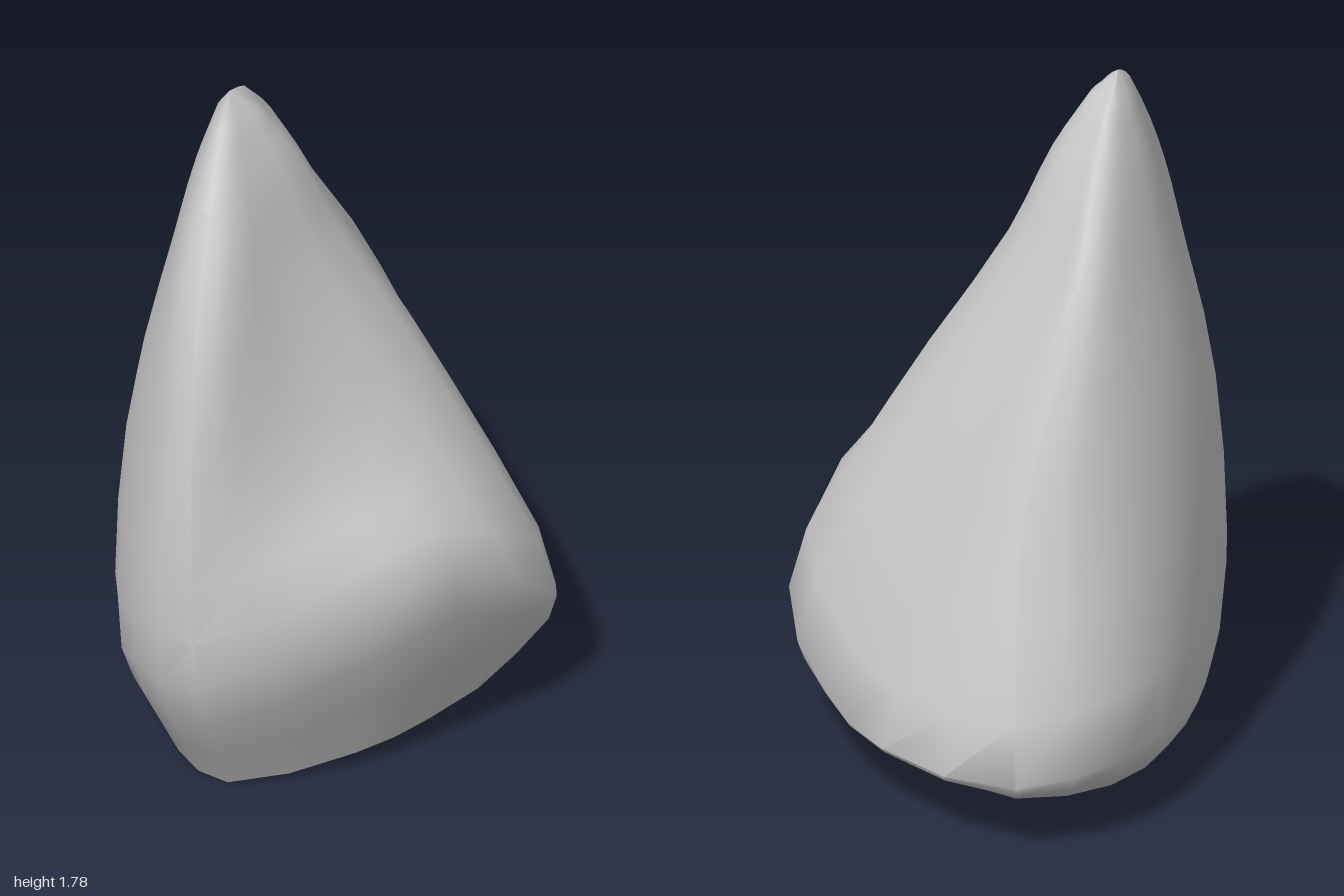
import * as THREE from 'three';
import { mergeVertices, toCreasedNormals } from 'three/addons/utils/BufferGeometryUtils.js';

// Ridges of the boulder, front -> +x side -> back -> -x side:
// widest point (x, y, z), then x, z at the middle and at the high level.
const ridges = [
  [-.22, .38, .975, -.24, .96, -.27, .76],
  [.18, .53, .77, -.08, .81, -.18, .68],
  [.39, .6, .54, .16, .49, -.1, .42],
  [.575, .31, .12, .31, .13, -.01, .12],
  [.44, .19, -.29, .16, -.2, -.1, -.1],
  [.24, .17, -.67, .03, -.44, -.19, -.25],
  [-.15, .2, -1, -.14, -.72, -.24, -.325],
  [-.42, .22, -.8, -.33, -.58, -.31, -.28],
  [-.55, .2, -.36, -.47, -.3, -.385, -.1],
  [-.565, .2, .02, -.54, .05, -.435, .1],
  [-.545, .22, .38, -.53, .4, -.42, .38],
  [-.43, .35, .78, -.4, .77, -.37, .61],
];
const middleY = .85, highY = 1.35;
const peak = new THREE.Vector3(-.29, 1.78, .21);

// The underside is a gently tilted plane, lowest at the front
const baseHeight = (x, z) => Math.max(0, .08 + .08 * x - .08 * z);
const baseCentre = new THREE.Vector3(-.05, baseHeight(-.05, 0), 0);

// One smooth line from the base edge over the widest point to the blunt peak
function ridgePoints([x, y, z, middleX, middleZ, highX, highZ], rows) {
  const wide = new THREE.Vector3(x, y, z);
  const high = new THREE.Vector3(highX, highY, highZ);
  const inset = Math.min(.22, .05 + .7 * (y - baseHeight(x, z)));
  const base = wide.clone().lerp(baseCentre, inset);
  base.y = baseHeight(base.x, base.z);
  const shoulders = [.4, .75].map((f) => {
    const p = high.clone().lerp(peak, f);
    p.y = peak.y - (peak.y - highY) * (1 - f) ** 1.5;
    return p;
  });
  const middle = new THREE.Vector3(middleX, middleY, middleZ);
  const curve = new THREE.CatmullRomCurve3([base, wide, middle, high, ...shoulders]);
  return Array.from({ length: rows }, (_, k) => curve.getPoint(k / (rows - 1)));
}

function boulderGeometry() {
  const rows = 16, around = ridges.length * 2;
  const rails = ridges.map((ridge) => ridgePoints(ridge, rows));

  // Close each level into a ring, doubling the points around it
  const rings = Array.from({ length: rows }, (_, k) => {
    const curve = new THREE.CatmullRomCurve3(rails.map((rail) => rail[k]), true);
    return Array.from({ length: around }, (_, i) => curve.getPoint(i / around));
  });

  const positions = [];
  const tri = (...pts) => pts.forEach((p) => positions.push(p.x, p.y, p.z));
  for (let i = 0; i < around; i++) {
    const j = (i + 1) % around;
    tri(baseCentre, rings[0][j], rings[0][i]);
    for (let k = 0; k < rows - 1; k++) {
      const low = rings[k], up = rings[k + 1];
      tri(low[i], low[j], up[j]);
      tri(low[i], up[j], up[i]);
    }
    tri(rings[rows - 1][i], rings[rows - 1][j], peak);
  }
  const geometry = new THREE.BufferGeometry();
  geometry.setAttribute('position', new THREE.Float32BufferAttribute(positions, 3));
  return toCreasedNormals(mergeVertices(geometry), .9);
}

export function createModel() {
  const stone = new THREE.MeshStandardMaterial({ color: 0xcccccc });
  stone.name = 'stone grey';

  const boulder = new THREE.Mesh(boulderGeometry(), stone);
  boulder.name = 'boulder';

  const group = new THREE.Group();
  group.name = 'rock';
  group.add(boulder);
  return group;
}
